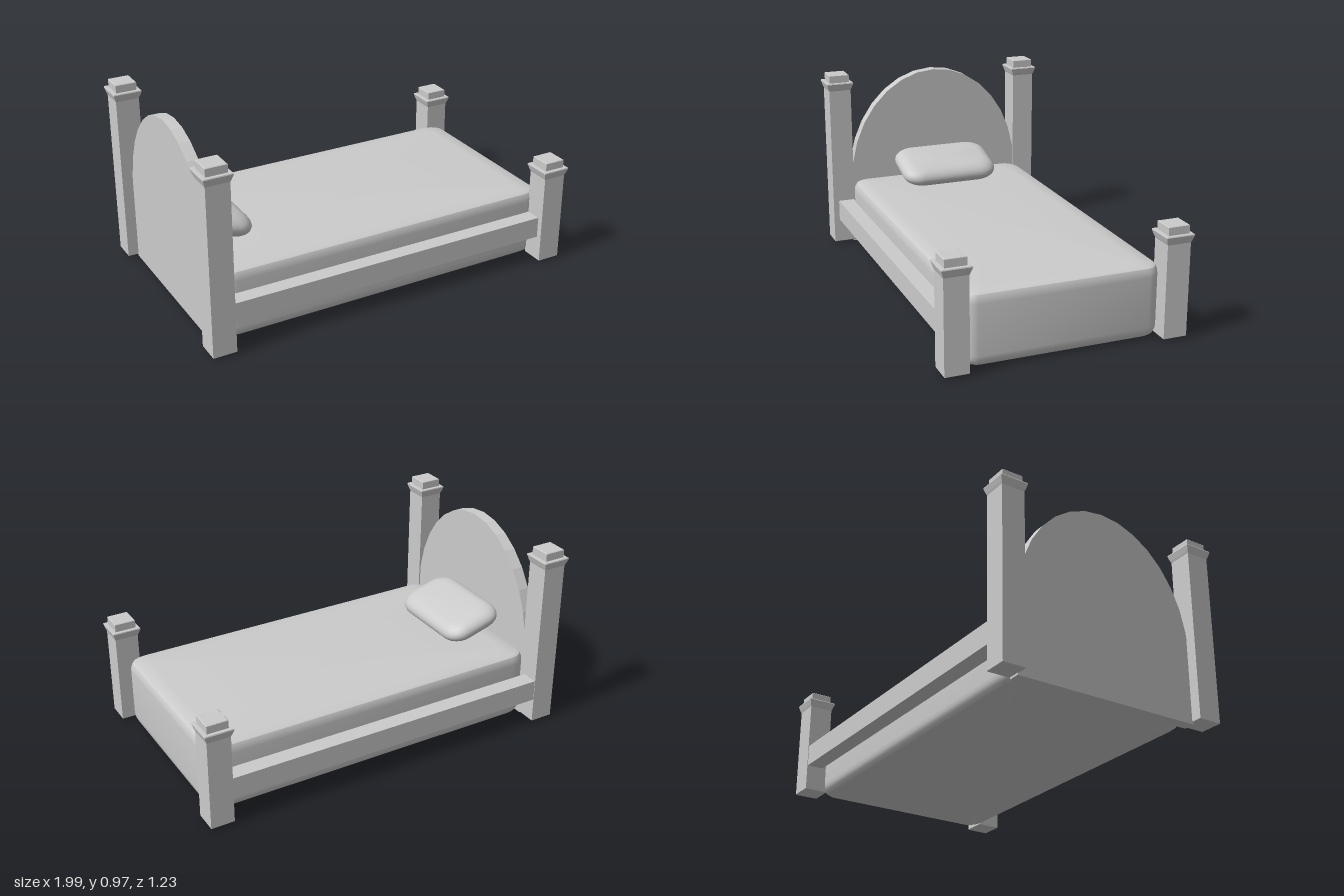
import * as THREE from 'three';
import { toCreasedNormals } from 'three/addons/utils/BufferGeometryUtils.js';

const smooth = new THREE.MeshStandardMaterial({ color: 0xcccccc });
const flat = new THREE.MeshStandardMaterial({ color: 0xcccccc, flatShading: true });

function addMesh(parent, name, geometry, material = flat) {
  const mesh = new THREE.Mesh(geometry, material);
  mesh.name = name;
  parent.add(mesh);
  return mesh;
}

// Stack of rounded rectangles; each level is [y, inset from the full outline].
function cushion(halfX, halfZ, cornerX, cornerZ, levels, crease, steps = 5) {
  const positions = [], index = [], n = 4 * (steps + 1);
  for (const [y, inset] of levels) {
    const rx = Math.max(cornerX - inset * 0.4, 0.01), rz = Math.max(cornerZ - inset * 0.4, 0.01);
    for (let q = 0; q < 4; q++) {
      const sx = q === 0 || q === 3 ? 1 : -1, sz = q < 2 ? -1 : 1;
      for (let k = 0; k <= steps; k++) {
        const a = (q + k / steps) * Math.PI / 2;
        positions.push(sx * (halfX - inset - rx) + rx * Math.cos(a), y,
          sz * (halfZ - inset - rz) - rz * Math.sin(a));
      }
    }
  }
  for (let i = 0; i < levels.length - 1; i++) {
    for (let j = 0; j < n; j++) {
      const a = i * n + j, b = i * n + (j + 1) % n;
      index.push(a, b, b + n, a, b + n, a + n);
    }
  }
  // end caps
  const last = (levels.length - 1) * n, bottom = levels.length * n, top = bottom + 1;
  positions.push(0, levels[0][0], 0, 0, levels[levels.length - 1][0], 0);
  for (let j = 0; j < n; j++) {
    const k = (j + 1) % n;
    index.push(bottom, k, j, top, last + j, last + k);
  }
  const g = new THREE.BufferGeometry();
  g.setAttribute('position', new THREE.Float32BufferAttribute(positions, 3));
  g.setIndex(index);
  g.computeVertexNormals();
  return toCreasedNormals(g, crease);
}

// Square post with a flared collar and a small block on top.
function postGeometry(height) {
  const profile = [
    [0, 0.01], [0.057, 0.01], [0.06, 0.013], [0.06, height - 0.085], [0.064, height - 0.075],
    [0.073, height - 0.047], [0.071, height - 0.042], [0.054, height - 0.042],
    [0.054, height - 0.003], [0.051, height], [0, height],
  ].map(([r, y]) => new THREE.Vector2(r * Math.SQRT2, y));
  return new THREE.LatheGeometry(profile, 4, Math.PI / 4);
}

export function createModel() {
  const bed = new THREE.Group();
  bed.name = 'bed';

  // posts and side rails
  for (const [side, sz] of [['left', -1], ['right', 1]]) {
    addMesh(bed, side + 'HeadPost', postGeometry(0.967)).position.set(-0.925, 0, sz * 0.543);
    addMesh(bed, side + 'FootPost', postGeometry(0.565)).position.set(0.92, 0, sz * 0.543);
    addMesh(bed, side + 'Rail', new THREE.BoxGeometry(1.8, 0.11, 0.085))
      .position.set(0, 0.195, sz < 0 ? -0.558 : 0.53);
  }

  // arched headboard
  const arch = new THREE.Shape();
  arch.moveTo(-0.49, 0);
  arch.lineTo(0.49, 0);
  for (let i = 0; i <= 16; i++) {
    const a = i / 16 * Math.PI;
    arch.lineTo(0.49 * Math.cos(a), 0.35 + 0.607 * Math.sin(a));
  }
  const board = new THREE.ExtrudeGeometry(arch, { depth: 0.058, bevelEnabled: false });
  board.rotateY(Math.PI / 2);
  addMesh(bed, 'headboard', board).position.x = -0.93;

  // mattress
  const mattress = cushion(0.91, 0.495, 0.09, 0.07, [
    [0.008, 0.025], [0.02, 0.01], [0.04, 0.002], [0.06, 0], [0.31, 0],
    [0.335, 0.002], [0.353, 0.01], [0.361, 0.025], [0.365, 0.09],
  ], 0.6);
  addMesh(bed, 'mattress', mattress, smooth).position.set(0.02, 0, -0.003);

  // pillow, leaning against the headboard
  const layers = [];
  for (let i = 0; i <= 12; i++) {
    const a = (i / 12 - 0.5) * Math.PI * 0.94;
    layers.push([0.053 * Math.sin(a), 0.075 * (1 - Math.cos(a))]);
  }
  const pillow = addMesh(bed, 'pillow', cushion(0.163, 0.267, 0.09, 0.1, layers, 1.2, 6), smooth);
  pillow.position.set(-0.733, 0.443, -0.013);
  pillow.rotation.z = -0.29;

  return bed;
}
